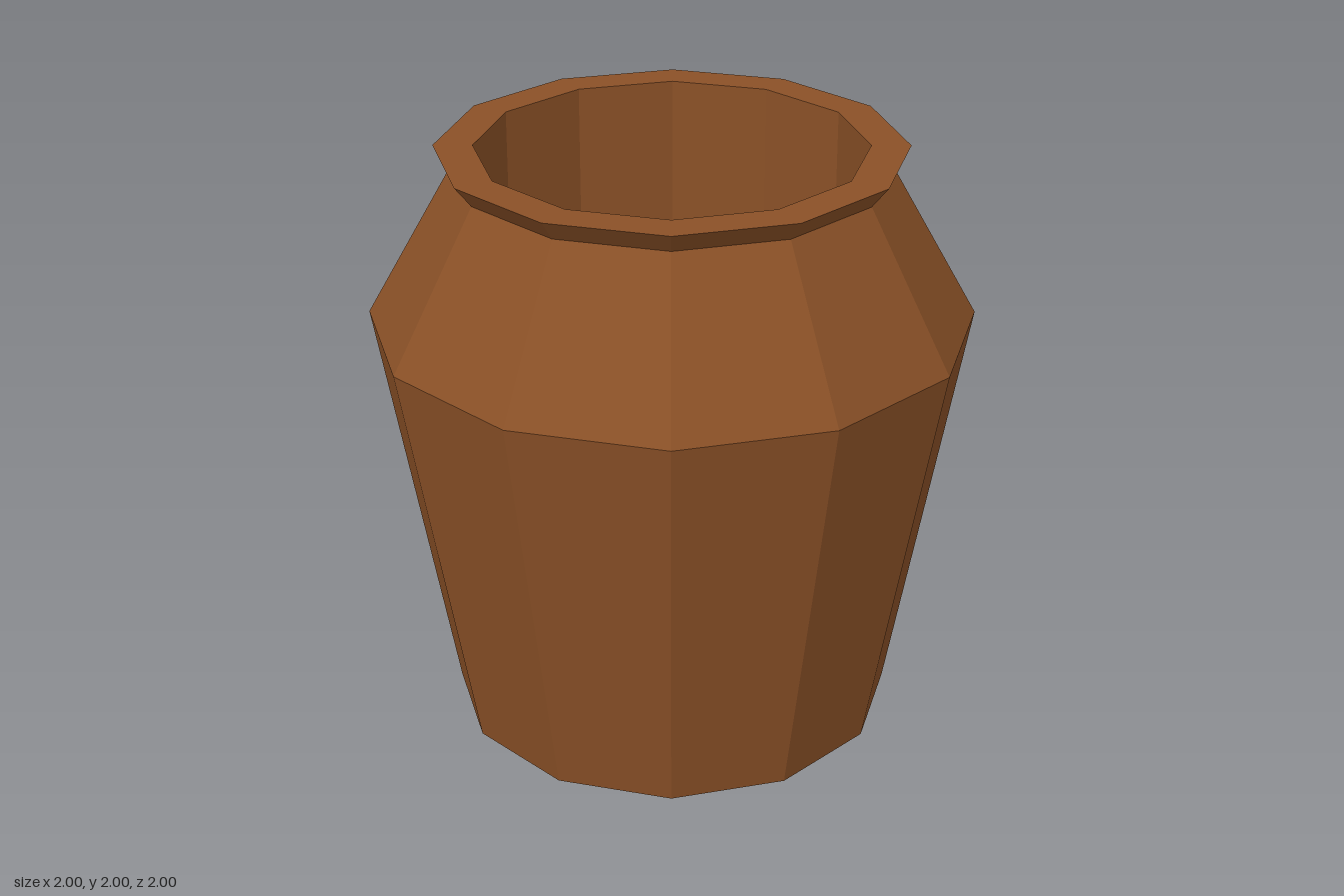
import * as THREE from 'three';

const SIDES = 12;

export function createModel() {
  const pot = new THREE.Group();
  pot.name = 'pot';
  const clay = new THREE.MeshStandardMaterial({ color: 0x8b5127, flatShading: true });
  clay.name = 'brown clay';

  // Twelve-sided ring surface from [radius, height] pairs
  const turn = (name, profile) => {
    const points = profile.map(([r, y]) => new THREE.Vector2(r, y));
    const mesh = new THREE.Mesh(new THREE.LatheGeometry(points, SIDES), clay);
    mesh.name = name;
    pot.add(mesh);
  };

  // Flat disc with its corners lined up with the rings
  const disc = (name, radius, y, faceUp) => {
    const geometry = new THREE.CircleGeometry(radius, SIDES);
    geometry.rotateX(faceUp ? -Math.PI / 2 : Math.PI / 2);
    const mesh = new THREE.Mesh(geometry, clay);
    mesh.position.y = y;
    mesh.name = name;
    pot.add(mesh);
  };

  // Outside: tapered body, sloping shoulder, flared lip
  disc('base', 0.75, 0, false);
  turn('body', [[0.75, 0], [1, 1.42]]);
  turn('shoulder', [[1, 1.42], [0.71, 1.93]]);
  turn('lip', [[0.71, 1.93], [0.765, 2]]);
  turn('rim', [[0.765, 2], [0.637, 2]]);

  // Inside: straight hollow with a flat floor
  turn('innerWall', [[0.637, 2], [0.637, 0.1]]);
  disc('innerFloor', 0.637, 0.1, true);

  return pot;
}
